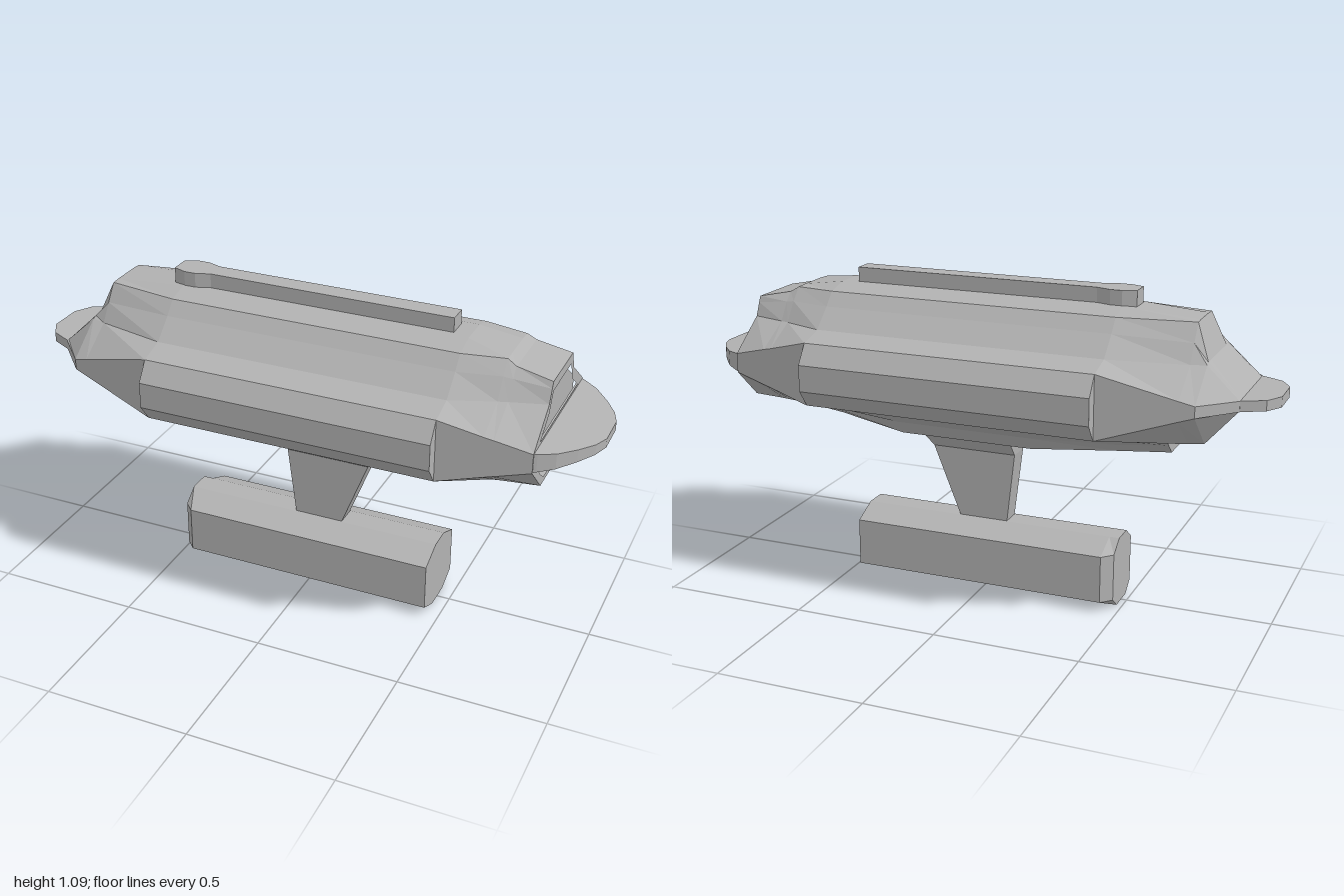
import * as THREE from 'three';

const grey = new THREE.MeshStandardMaterial({ color: 0xb2b2b2, flatShading: true });
grey.name = 'hull grey';

// Skin between closed rings of [x, y, z] points, with optional end caps
function loft(rings, capStart = true, capEnd = true) {
  const pos = [];
  const tri = (a, b, c) => pos.push(...a, ...b, ...c);
  const n = rings[0].length;
  for (let i = 0; i < rings.length - 1; i++) {
    for (let j = 0; j < n; j++) {
      const k = (j + 1) % n;
      const [a, b, c, d] = [rings[i][j], rings[i][k], rings[i + 1][k], rings[i + 1][j]];
      tri(a, b, c);
      tri(a, c, d);
    }
  }
  const first = rings[0], last = rings[rings.length - 1];
  for (let k = 1; k < n - 1; k++) {
    if (capStart) tri(first[0], first[k + 1], first[k]);
    if (capEnd) tri(last[0], last[k], last[k + 1]);
  }
  const g = new THREE.BufferGeometry();
  g.setAttribute('position', new THREE.Float32BufferAttribute(pos, 3));
  g.computeVertexNormals();
  return g;
}

// Half section of [z, y] points, top to bottom, mirrored into a ring at x
const ring = (x, half) => [
  ...half.map(([z, y]) => [x, y, z]),
  ...half.slice().reverse().map(([z, y]) => [x, y, -z]),
];

// Half outline mirrored into a flat shape
const mirrored = (half, Type = THREE.Shape) => new Type([
  ...half.map(([a, b]) => new THREE.Vector2(a, b)),
  ...half.slice().reverse().map(([a, b]) => new THREE.Vector2(-a, b)),
]);

// Plan outline of [x, z] points, mirrored in z, raised from y0 to y1
function slab(outline, y0, y1) {
  const pts = [...outline, ...outline.slice().reverse().map(([x, z]) => [x, -z])];
  const g = new THREE.ExtrudeGeometry(
    new THREE.Shape(pts.map(([x, z]) => new THREE.Vector2(x, -z))),
    { depth: y1 - y0, bevelEnabled: false });
  return g.rotateX(-Math.PI / 2).translate(0, y0, 0);
}

export function createModel() {
  const model = new THREE.Group();
  const add = (name, geometry) => {
    const mesh = new THREE.Mesh(geometry, grey);
    mesh.name = name;
    model.add(mesh);
    return mesh;
  };

  // Main hull, lofted from tail to nose
  const middle = [[0.055, 1.04], [0.13, 1.02], [0.17, 0.975], [0.24, 0.91], [0.33, 0.885], [0.33, 0.67], [0.22, 0.64]];
  const nose = [[0.05, 0.975], [0.11, 0.975], [0.12, 0.955], [0.14, 0.91], [0.28, 0.808], [0.28, 0.742], [0.165, 0.636]];
  add('hull', loft([
    ring(-0.89, [[0.05, 0.8], [0.1, 0.8], [0.14, 0.8], [0.15, 0.8], [0.16, 0.8], [0.16, 0.765], [0.12, 0.765]]),
    ring(-0.78, [[0.06, 0.908], [0.1, 0.907], [0.135, 0.906], [0.15, 0.9], [0.28, 0.803], [0.28, 0.765], [0.14, 0.642]]),
    ring(-0.73, [[0.05, 1.02], [0.085, 1.018], [0.125, 0.96], [0.165, 0.9], [0.288, 0.816], [0.288, 0.75], [0.155, 0.64]]),
    ring(-0.475, middle),
    ring(0.535, middle),
    ring(0.68, [[0.055, 1.02], [0.1, 1.018], [0.14, 0.975], [0.185, 0.91], [0.305, 0.846], [0.305, 0.706], [0.193, 0.638]]),
    ring(0.71, [[0.055, 1.0], [0.105, 1.0], [0.135, 0.97], [0.175, 0.91], [0.3, 0.839], [0.3, 0.713], [0.187, 0.638]]),
    ring(0.83, nose),
  ], true, false));

  // Nose face with two recessed bays
  const frame = mirrored(nose);
  frame.holes.push(
    mirrored([[0.1, 0.94], [0.13, 0.875], [0.21, 0.816]], THREE.Path),
    mirrored([[0.22, 0.733], [0.185, 0.69], [0.14, 0.655]], THREE.Path));
  add('noseFrame', new THREE.ExtrudeGeometry(frame, { depth: 0.04, bevelEnabled: false })
    .rotateY(Math.PI / 2).translate(0.79, 0, 0));
  add('bayBackWall', new THREE.ShapeGeometry(mirrored(nose)).rotateY(Math.PI / 2).translate(0.8, 0, 0));

  // Rounded nose lip, thinning toward its tip
  const lip = slab([[0.82, 0.28], [0.84, 0.27], [0.89, 0.235], [0.94, 0.175], [0.98, 0.115], [1, 0.06]], -0.5, 0.5);
  const p = lip.attributes.position;
  for (let i = 0; i < p.count; i++) {
    const t = (p.getX(i) - 0.82) / 0.18;
    p.setY(i, p.getY(i) > 0 ? 0.808 - 0.018 * t : 0.742 + 0.016 * t);
  }
  lip.computeVertexNormals();
  add('noseLip', lip);

  // Flat tail lip
  add('tailLip', slab([[-0.8, 0.16], [-0.89, 0.158], [-0.965, 0.12], [-1, 0.06]], 0.765, 0.8));

  // Keel under the hull
  const keel = [[0.22, 0.642], [0.12, 0.58], [0.08, 0.53]];
  add('keel', loft([
    ring(-0.66, [[0.15, 0.642], [0.12, 0.615], [0.08, 0.58]]),
    ring(-0.475, [[0.218, 0.642], [0.12, 0.595], [0.08, 0.562]]),
    ring(-0.17, keel),
    ring(0.3, keel),
    ring(0.535, [[0.218, 0.642], [0.13, 0.605], [0.08, 0.576]]),
    ring(0.83, [[0.165, 0.64], [0.13, 0.636], [0.08, 0.635]]),
  ]));

  // Side sponsons
  for (const s of [1, -1]) {
    const half = [[0.28, 0.885], [0.33, 0.885], [0.375, 0.82], [0.375, 0.73], [0.33, 0.67], [0.28, 0.67]];
    const at = x => {
      const r = half.map(([z, y]) => [x, y, z * s]);
      return s > 0 ? r.reverse() : r;
    };
    add(s > 0 ? 'frontSponson' : 'backSponson', loft([at(0.535), at(-0.475)]));
  }

  // Dorsal rail with a swollen rear end
  add('dorsalRail', slab(
    [[0.48, 0.035], [-0.38, 0.035], [-0.43, 0.052], [-0.47, 0.052], [-0.515, 0.035]], 1.025, 1.09));

  // Pylon, flaring where it meets the keel
  const level = (y, x0, x1, z) => [[x1, y, z], [x1, y, -z], [x0, y, -z], [x0, y, z]];
  add('pylon', loft([
    level(0.23, -0.07, 0.1, 0.036),
    level(0.485, -0.1, 0.2, 0.04),
    level(0.535, -0.1, 0.22, 0.08),
  ]));

  // Lower pod, chamfered at the rear
  const pod = [[0.04, 0.24], [0.132, 0.2], [0.132, 0.036], [0.05, 0]];
  add('lowerPod', loft([
    ring(-0.48, pod.map(([z, y]) => [Math.min(z, 0.095), y])),
    ring(-0.445, pod),
    ring(0.455, pod),
  ]));

  return model;
}
